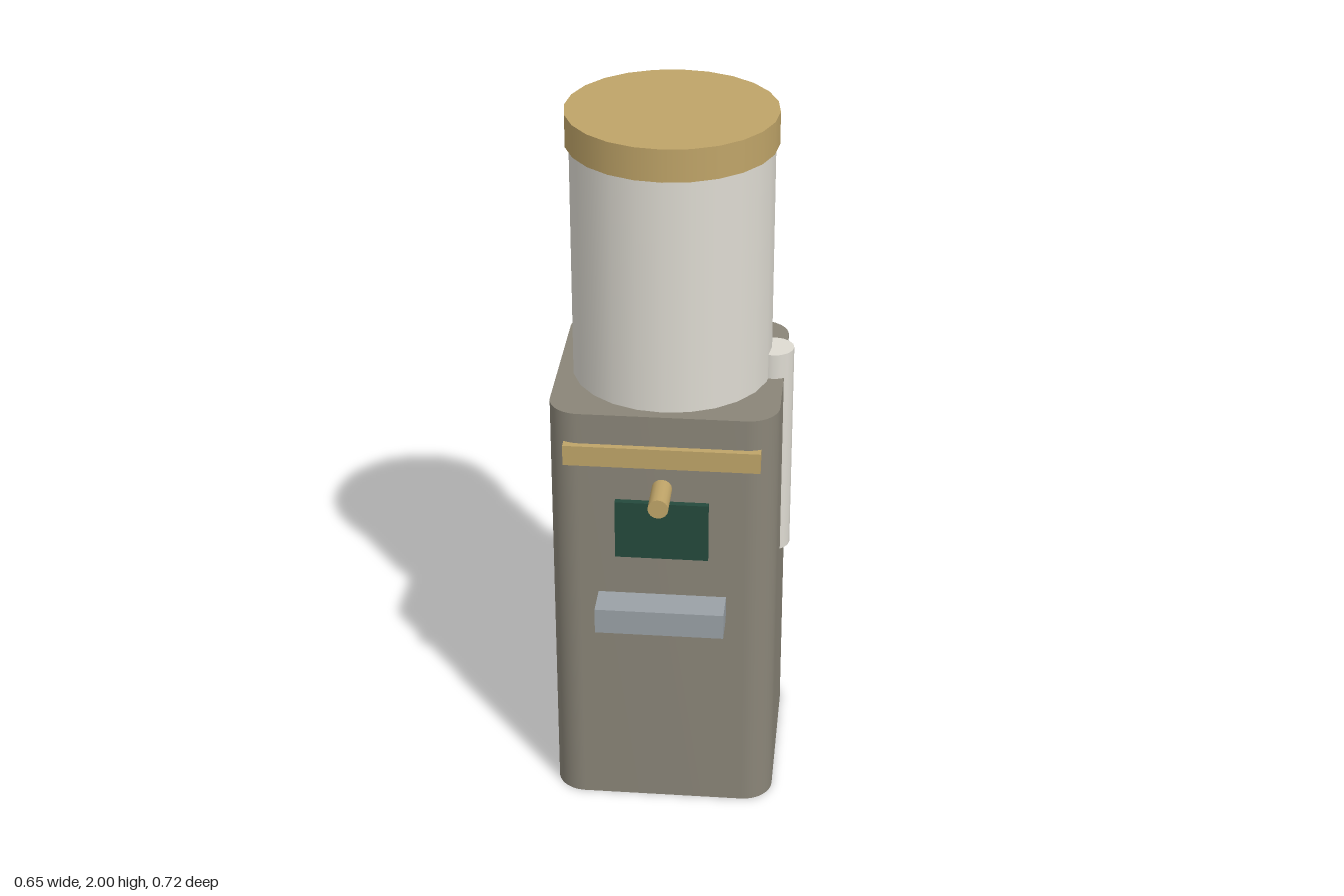
import * as THREE from 'three';
import { toCreasedNormals } from 'three/addons/utils/BufferGeometryUtils.js';

const CX = -0.014, CZ = -0.057; // axis shared by body and drum
const FRONT = 0.247;            // front face of the body

const paint = (color) => new THREE.MeshStandardMaterial({ color });

function roundedRect(w, d, r) {
  const x = w / 2, y = d / 2, s = new THREE.Shape();
  s.moveTo(-x + r, -y);
  s.lineTo(x - r, -y);
  s.absarc(x - r, -y + r, r, -Math.PI / 2, 0);
  s.lineTo(x, y - r);
  s.absarc(x - r, y - r, r, 0, Math.PI / 2);
  s.lineTo(-x + r, y);
  s.absarc(-x + r, y - r, r, Math.PI / 2, Math.PI);
  s.lineTo(-x, -y + r);
  s.absarc(-x + r, -y + r, r, Math.PI, Math.PI * 1.5);
  return s;
}

export function createModel() {
  const model = new THREE.Group();
  model.name = 'dispenser';
  const stone = paint(0x8a8578), gold = paint(0xbfa468), cream = paint(0xdedbd2);
  const green = paint(0x24493c), steel = paint(0x9aa1a6);

  const add = (name, geometry, material, x, y, z) => {
    const mesh = new THREE.Mesh(geometry, material);
    mesh.name = name;
    mesh.position.set(x, y, z);
    model.add(mesh);
    return mesh;
  };
  // upright cylinder between two heights
  const column = (name, r, y0, y1, sides, material, x) =>
    add(name, new THREE.CylinderGeometry(r, r, y1 - y0, sides), material, x, (y0 + y1) / 2, CZ);
  // box sunk slightly into the front face
  const frontBox = (name, w, y0, y1, z1, material) => {
    const z0 = FRONT - 0.02;
    return add(name, new THREE.BoxGeometry(w, y1 - y0, z1 - z0), material, CX, (y0 + y1) / 2, (z0 + z1) / 2);
  };

  // Body with rounded vertical edges
  const bodyGeometry = new THREE.ExtrudeGeometry(roundedRect(0.622, 0.608, 0.085),
    { depth: 1.243, bevelEnabled: false, curveSegments: 6 });
  bodyGeometry.rotateX(-Math.PI / 2);
  add('body', toCreasedNormals(bodyGeometry, 0.7), stone, CX, 0, CZ);

  // Drum, lid and side tube
  column('drum', 0.275, 1.2, 1.93, 24, cream, CX);
  column('lid', 0.285, 1.91, 2, 24, gold, CX);
  column('sideTube', 0.055, 0.695, 1.315, 16, cream, 0.267);

  // Front fittings
  frontBox('trimBar', 0.533, 1.095, 1.154, 0.265, gold);
  frontBox('screen', 0.255, 0.814, 0.986, 0.265, green);
  frontBox('tray', 0.354, 0.614, 0.688, 0.343, steel);
  const knob = add('knob', new THREE.CylinderGeometry(0.028, 0.028, 0.132, 16), gold, CX, 1.025, 0.292);
  knob.rotation.x = Math.PI / 2;

  return model;
}
